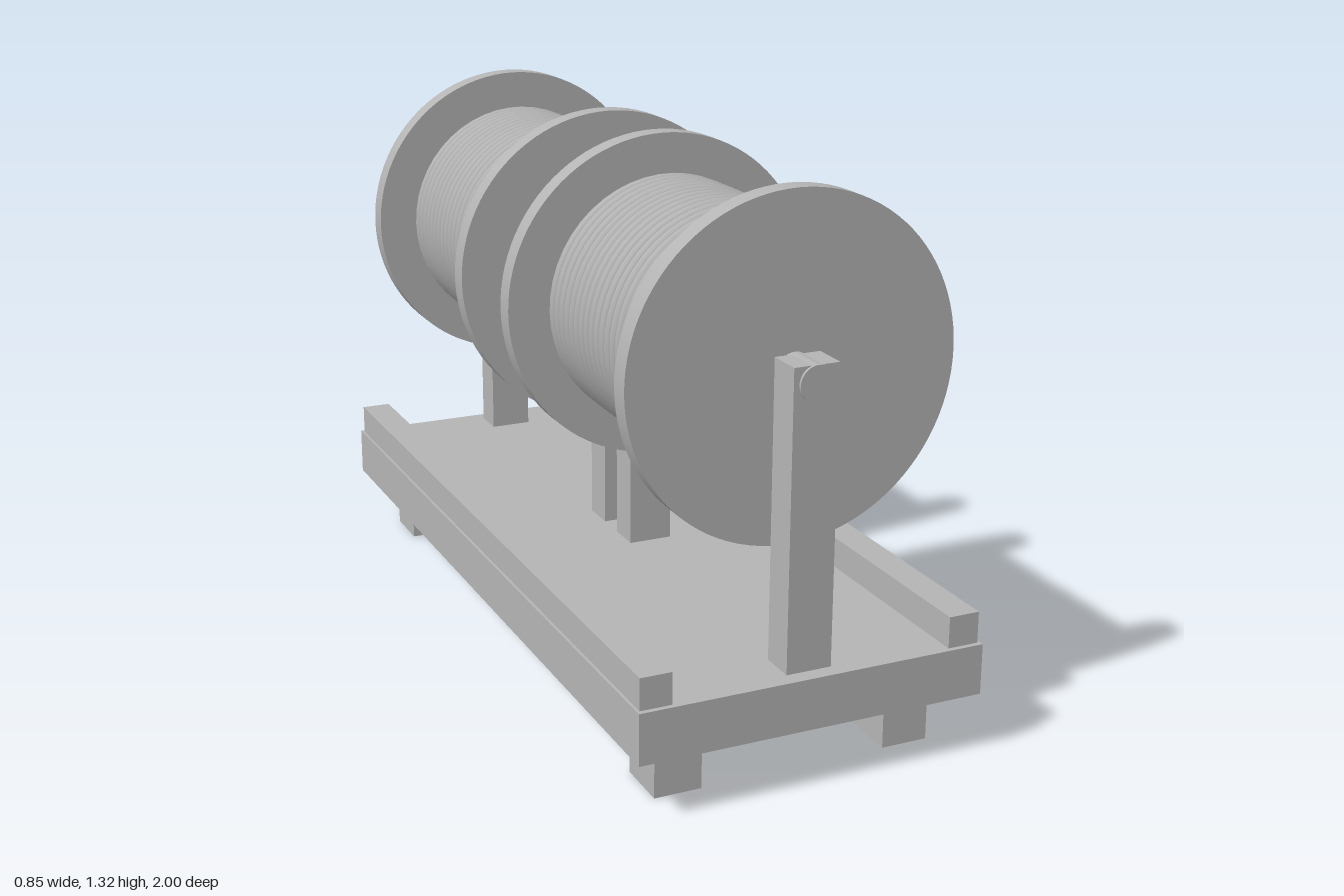
import * as THREE from 'three';

const SPOOL_Y = 0.925;

// Wire path: starts at +x on the front flange and winds towards the back
class WindingCurve extends THREE.Curve {
  constructor(radius, length, turns) {
    super();
    Object.assign(this, { radius, length, turns });
  }
  getPoint(t, target = new THREE.Vector3()) {
    const a = -t * this.turns * Math.PI * 2;
    return target.set(
      this.radius * Math.cos(a),
      this.radius * Math.sin(a),
      this.length * (0.5 - t)
    );
  }
}

export function createModel() {
  const model = new THREE.Group();
  model.name = 'twinSpoolStand';
  const grey = new THREE.MeshStandardMaterial({ color: 0xb4b4b4 });
  grey.name = 'plainGrey';

  const add = (parent, name, geometry, x = 0, y = 0, z = 0) => {
    const mesh = new THREE.Mesh(geometry, grey);
    mesh.name = name;
    mesh.position.set(x, y, z);
    parent.add(mesh);
    return mesh;
  };
  const box = (w, h, d) => new THREE.BoxGeometry(w, h, d);
  const drum = (radius, length, sides = 64) =>
    new THREE.CylinderGeometry(radius, radius, length, sides).rotateX(Math.PI / 2);

  // Base board, side rails and feet
  add(model, 'baseBoard', box(0.85, 0.123, 2), 0, 0.2025, 0);
  for (const sx of [-1, 1]) {
    add(model, 'sideRail', box(0.076, 0.076, 1.976), sx * 0.38, 0.302, 0);
    for (const sz of [-1, 1]) {
      add(model, 'foot', box(0.115, 0.142, 0.134), sx * 0.288, 0.071, sz * 0.838);
    }
  }

  // Two identical spools, each carried by a pair of posts
  const winding = new THREE.TubeGeometry(
    new WindingCurve(0.29, 0.585, 20), 1000, 0.0155, 8, false);
  const wireEnd = new THREE.CircleGeometry(0.0155, 8);
  for (const z of [0.5, -0.5]) {
    const spool = new THREE.Group();
    spool.name = 'spool';
    spool.position.set(0, SPOOL_Y, z);
    model.add(spool);

    add(spool, 'core', drum(0.285, 0.63));
    add(spool, 'wireWinding', winding);
    add(spool, 'wireEnd', wireEnd, 0.29, 0, 0.2925).rotation.x = -Math.PI / 2;
    add(spool, 'wireEnd', wireEnd, 0.29, 0, -0.2925).rotation.x = Math.PI / 2;
    add(spool, 'axle', drum(0.042, 0.936, 32));
    for (const s of [-1, 1]) {
      add(spool, 'flange', drum(0.398, 0.052, 96), 0, 0, s * 0.337);
      add(model, 'post', box(0.11, 0.705, 0.087), 0, 0.6125, z + s * 0.418);
    }
  }
  return model;
}
